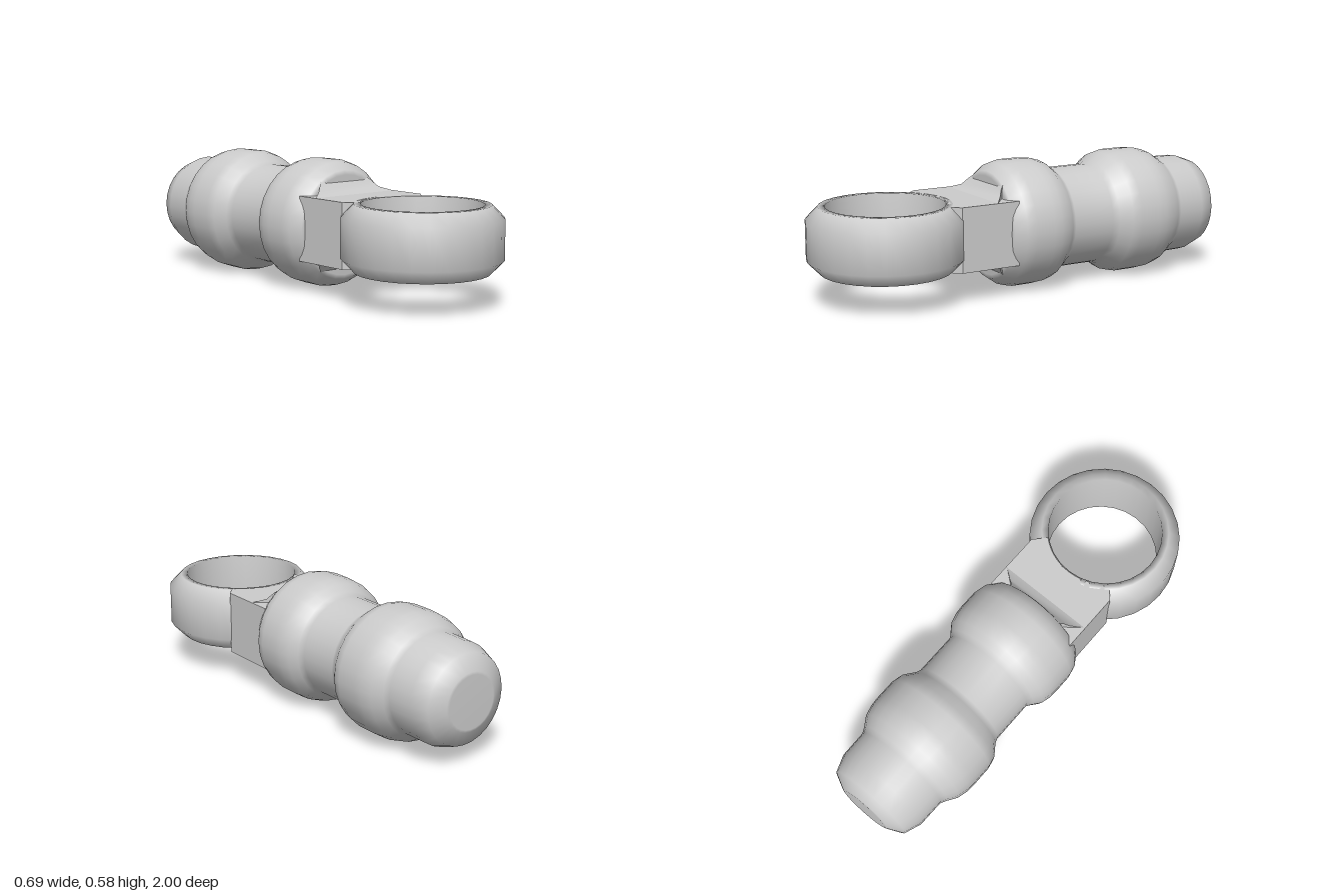
import * as THREE from 'three';

const SIDES = 28;
const MID = 0.29;        // height of the long axis
const HALF = 0.144;      // half thickness of ring and neck
const RING_Z = 0.653;

const lathe = (profile) =>
  new THREE.LatheGeometry(profile.map(([r, y]) => new THREE.Vector2(r, y)), SIDES);

export function createModel() {
  const group = new THREE.Group();
  const material = new THREE.MeshStandardMaterial({ color: 0xcccccc });
  const add = (name, geometry) => {
    const mesh = new THREE.Mesh(geometry, material);
    mesh.name = name;
    group.add(mesh);
    return mesh;
  };

  // Round shaft with two raised bands, turned about the z axis
  const shaft = lathe([
    [0, -1], [0.118, -1], [0.13, -0.997], [0.2, -0.962], [0.228, -0.885], [0.23, -0.76],
    [0.243, -0.735], [0.272, -0.69], [0.285, -0.64], [0.288, -0.6], [0.288, -0.5],
    [0.278, -0.455], [0.242, -0.405], [0.23, -0.375], [0.23, -0.175],
    [0.245, -0.15], [0.272, -0.115], [0.285, -0.07], [0.288, -0.03], [0.288, 0.06],
    [0.278, 0.105], [0.245, 0.152], [0.225, 0.16], [0, 0.162],
  ]);
  shaft.rotateX(Math.PI / 2);
  add('shaft', shaft).position.y = MID;

  // Finger ring with chamfered outer rims
  const ring = lathe([
    [0.26, -HALF], [0.29, -HALF], [0.345, -0.087], [0.345, 0.087],
    [0.29, HALF], [0.26, HALF], [0.26, -HALF],
  ]);
  add('ring', ring).position.set(0, MID, RING_Z);

  // Flat neck, cut away by the ring hole
  const outline = new THREE.Shape();
  const corner = Math.atan2(-0.25, 0.23);
  outline.moveTo(-0.23, 0.12);
  outline.lineTo(0.23, 0.12);
  outline.lineTo(0.23, 0.403);
  outline.absarc(0, RING_Z, 0.264, corner, -Math.PI - corner, true);
  outline.lineTo(-0.23, 0.403);
  outline.closePath();
  const neck = new THREE.ExtrudeGeometry(outline, {
    depth: HALF * 2, bevelEnabled: false, curveSegments: 10,
  });
  neck.rotateX(Math.PI / 2);
  add('neck', neck).position.y = MID + HALF;

  // Fillet that flares from the neck up to the shaft: [z, half width, half height]
  const sections = [
    [0.14, 0.13, 0.212], [0.165, 0.15, 0.19], [0.185, 0.175, 0.162], [0.225, 0.225, HALF],
  ];
  const fillet = new THREE.BoxGeometry(2, 2, 3, 1, 1, 3);
  const p = fillet.attributes.position;
  for (let i = 0; i < p.count; i++) {
    const [z, w, h] = sections[Math.round(p.getZ(i) + 1.5)];
    p.setXYZ(i, p.getX(i) * w, p.getY(i) * h, z);
  }
  fillet.computeVertexNormals();
  add('neckFillet', fillet).position.y = MID;

  return group;
}
